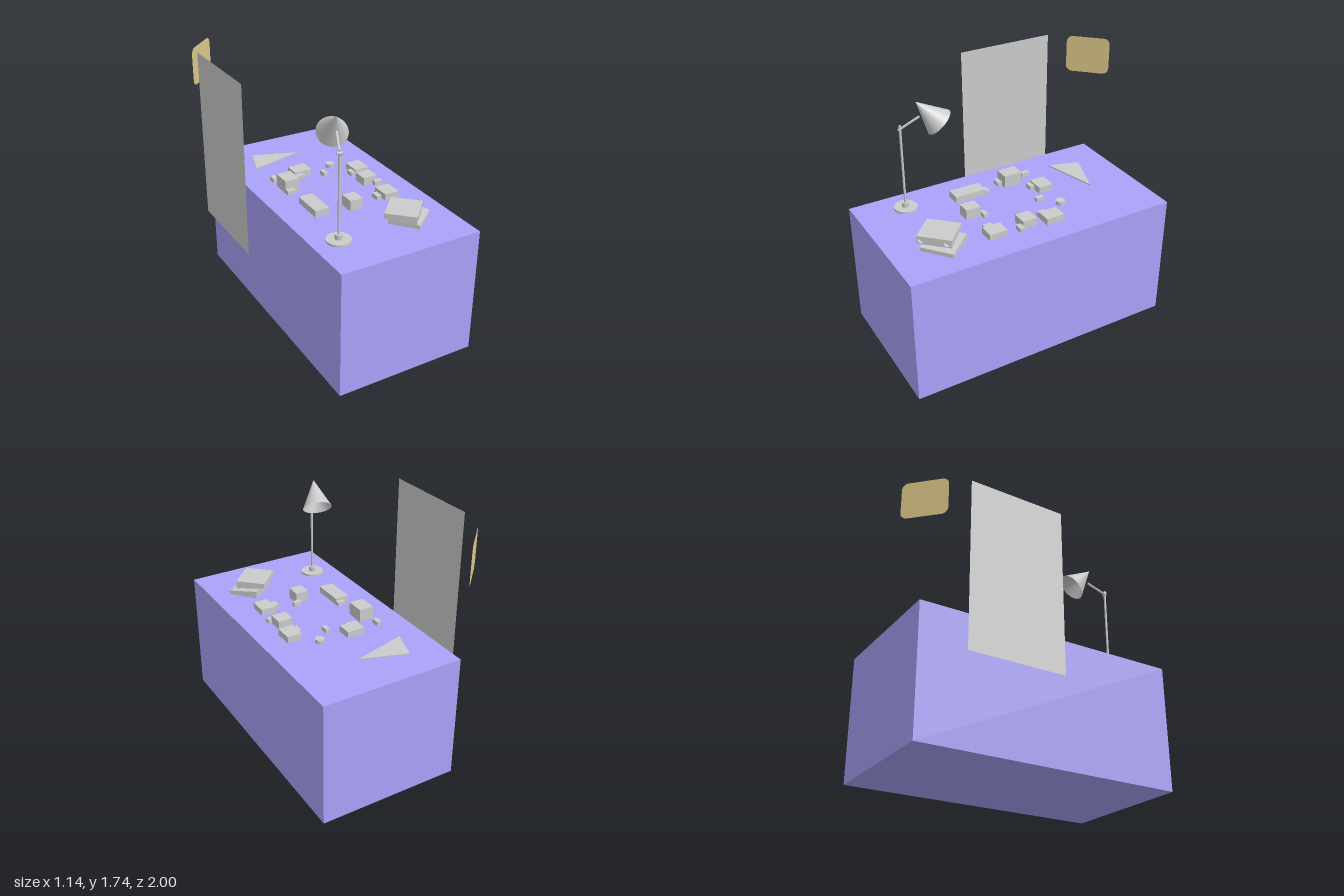
import * as THREE from 'three';

const DESK_Y = 0.88;
const grey = new THREE.MeshStandardMaterial({ color: 0xcccccc });
const greyThin = new THREE.MeshStandardMaterial({ color: 0xcccccc, side: THREE.DoubleSide });
const violet = new THREE.MeshStandardMaterial({ color: 0xaaa2fa });
const tan = new THREE.MeshStandardMaterial({ color: 0xdcc88a, side: THREE.DoubleSide });

function part(parent, name, geometry, material, x = 0, y = 0, z = 0) {
  const mesh = new THREE.Mesh(geometry, material);
  mesh.name = name;
  mesh.position.set(x, y, z);
  parent.add(mesh);
  return mesh;
}

// Box given by its x and z limits, standing on y0
function block(parent, name, x0, x1, z0, z1, h, y0 = DESK_Y, material = grey) {
  return part(parent, name, new THREE.BoxGeometry(x1 - x0, h, z1 - z0), material,
    (x0 + x1) / 2, y0 + h / 2, (z0 + z1) / 2);
}

// Cylinder or cone running from a to b
function rod(parent, name, a, b, rA, rB, material = grey, open = false, sides = 16) {
  const dir = b.clone().sub(a);
  const geometry = new THREE.CylinderGeometry(rB, rA, dir.length(), sides, 1, open);
  const mesh = part(parent, name, geometry, material);
  mesh.position.copy(a).add(b).multiplyScalar(0.5);
  mesh.quaternion.setFromUnitVectors(new THREE.Vector3(0, 1, 0), dir.normalize());
  return mesh;
}

// Box whose bottom and top heights differ between front and back
function wedge(w, zBack, zFront, back, front) {
  const g = new THREE.BoxGeometry(w, 1, 1);
  const p = g.attributes.position;
  for (let i = 0; i < p.count; i++) {
    const isFront = p.getZ(i) > 0;
    p.setY(i, (isFront ? front : back)[p.getY(i) > 0 ? 1 : 0]);
    p.setZ(i, isFront ? zFront : zBack);
  }
  g.computeVertexNormals();
  return g;
}

function buildLamp() {
  const lamp = new THREE.Group();
  lamp.name = 'deskLamp';
  const x = -0.243, z = 0.668;
  const v = (a, b, c) => new THREE.Vector3(a, b, c);
  part(lamp, 'lampBase', new THREE.CylinderGeometry(0.08, 0.08, 0.015, 32), grey, x, DESK_Y + 0.0075, z);
  part(lamp, 'lampHub', new THREE.CylinderGeometry(0.024, 0.024, 0.035, 24), grey, x, DESK_Y + 0.03, z);
  rod(lamp, 'lampPole', v(x, DESK_Y, z), v(x, 1.485, z), 0.008, 0.008);
  // Pin through the pole top, across the arm
  rod(lamp, 'lampJoint', v(x - 0.015, 1.463, z - 0.006), v(x + 0.015, 1.463, z + 0.006), 0.011, 0.011);
  rod(lamp, 'lampArm', v(x - 0.004, 1.453, z + 0.011), v(-0.197, 1.54, 0.552), 0.008, 0.008);
  rod(lamp, 'lampShade', v(-0.157, 1.49, 0.435), v(-0.203, 1.64, 0.567), 0.1, 0.001, greyThin, true, 48);
  return lamp;
}

function buildStack() {
  const stack = new THREE.Group();
  stack.name = 'deviceStack';
  const lower = part(stack, 'lowerSlab',
    wedge(0.227, -0.103, 0.103, [DESK_Y, 0.932], [DESK_Y, 0.907]), grey, 0.284, 0, 0.649);
  lower.rotation.y = 0.69;

  const upper = new THREE.Group();
  upper.name = 'upperDevice';
  upper.position.set(0.238, 0, 0.653);
  upper.rotation.y = 0.8;
  part(upper, 'deviceBody', wedge(0.226, -0.103, 0.083, [0.941, 0.975], [0.922, 0.975]), grey);
  // Front plate with two round recesses
  const face = new THREE.Shape();
  face.moveTo(-0.113, 0.92).lineTo(0.113, 0.92).lineTo(0.113, 0.975).lineTo(-0.113, 0.975).closePath();
  for (const s of [-1, 1]) {
    const hole = new THREE.Path();
    hole.absarc(s * 0.084, 0.946, 0.02, 0, Math.PI * 2, true);
    face.holes.push(hole);
  }
  const plate = new THREE.ExtrudeGeometry(face, { depth: 0.02, bevelEnabled: false, curveSegments: 16 });
  part(upper, 'deviceFace', plate, grey, 0, 0, 0.083);
  stack.add(upper);
  return stack;
}

export function createModel() {
  const model = new THREE.Group();
  model.name = 'deskScene';

  block(model, 'desk', -0.42, 0.57, -0.88, 1.0, DESK_Y, 0, violet);

  // Upright sheet beside the desk
  const panel = part(model, 'sidePanel', new THREE.PlaneGeometry(0.69, 1.19), greyThin, -0.568, 1.147, -0.285);
  panel.rotation.y = Math.PI / 2;

  // Rounded plate floating at the back corner
  const w = 0.155, h = 0.1325, r = 0.045;
  const outline = new THREE.Shape();
  outline.absarc(w - r, h - r, r, 0, Math.PI / 2);
  outline.absarc(-w + r, h - r, r, Math.PI / 2, Math.PI);
  outline.absarc(-w + r, -h + r, r, Math.PI, Math.PI * 1.5);
  outline.absarc(w - r, -h + r, r, Math.PI * 1.5, Math.PI * 2);
  const sign = part(model, 'roundedPlate', new THREE.ShapeGeometry(outline, 10), tan, -0.44, 1.583, -0.89);
  sign.rotation.y = Math.PI / 4;

  model.add(buildLamp(), buildStack());

  // Thin triangular sheet lying on the desk
  const tri = new THREE.Shape();
  tri.moveTo(-0.183, 0.67).lineTo(-0.25, 0.46).lineTo(0.125, 0.56).closePath();
  const sheet = part(model, 'triangleSheet',
    new THREE.ExtrudeGeometry(tri, { depth: 0.008, bevelEnabled: false }), grey, 0, DESK_Y, 0);
  sheet.rotation.x = -Math.PI / 2;

  // Blocks laid out on the desk: x0, x1, z0, z1, height
  const blocks = [
    [-0.08, 0.045, -0.303, -0.197, 0.045],
    [-0.24, -0.137, -0.16, -0.03, 0.09],
    [0.305, 0.41, -0.16, -0.03, 0.045],
    [0.273, 0.376, 0.028, 0.13, 0.058],
    [0.284, 0.388, 0.25, 0.377, 0.045],
    [0.008, 0.1, 0.288, 0.392, 0.075],
    [-0.226, -0.125, 0.132, 0.352, 0.046],
  ];
  blocks.forEach((b, i) => block(model, `block${i + 1}`, ...b));

  // Small pieces beside the blocks
  const pieces = [
    [-0.24, -0.205, -0.267, -0.208],
    [-0.08, -0.02, -0.197, -0.165],
    [0.105, 0.137, -0.177, -0.12],
    [-0.24, -0.18, -0.03, 0.003],
    [0.273, 0.305, -0.09, -0.032],
    [0.342, 0.4, 0.132, 0.165],
    [0.237, 0.273, 0.29, 0.35],
    [0.078, 0.137, 0.25, 0.282],
    [-0.18, -0.125, 0.098, 0.13],
  ];
  pieces.forEach((p, i) => block(model, `smallPiece${i + 1}`, ...p, 0.03));
  part(model, 'roundPiece', new THREE.CylinderGeometry(0.032, 0.032, 0.028, 16), grey, 0.226, DESK_Y + 0.014, -0.25);

  return model;
}
